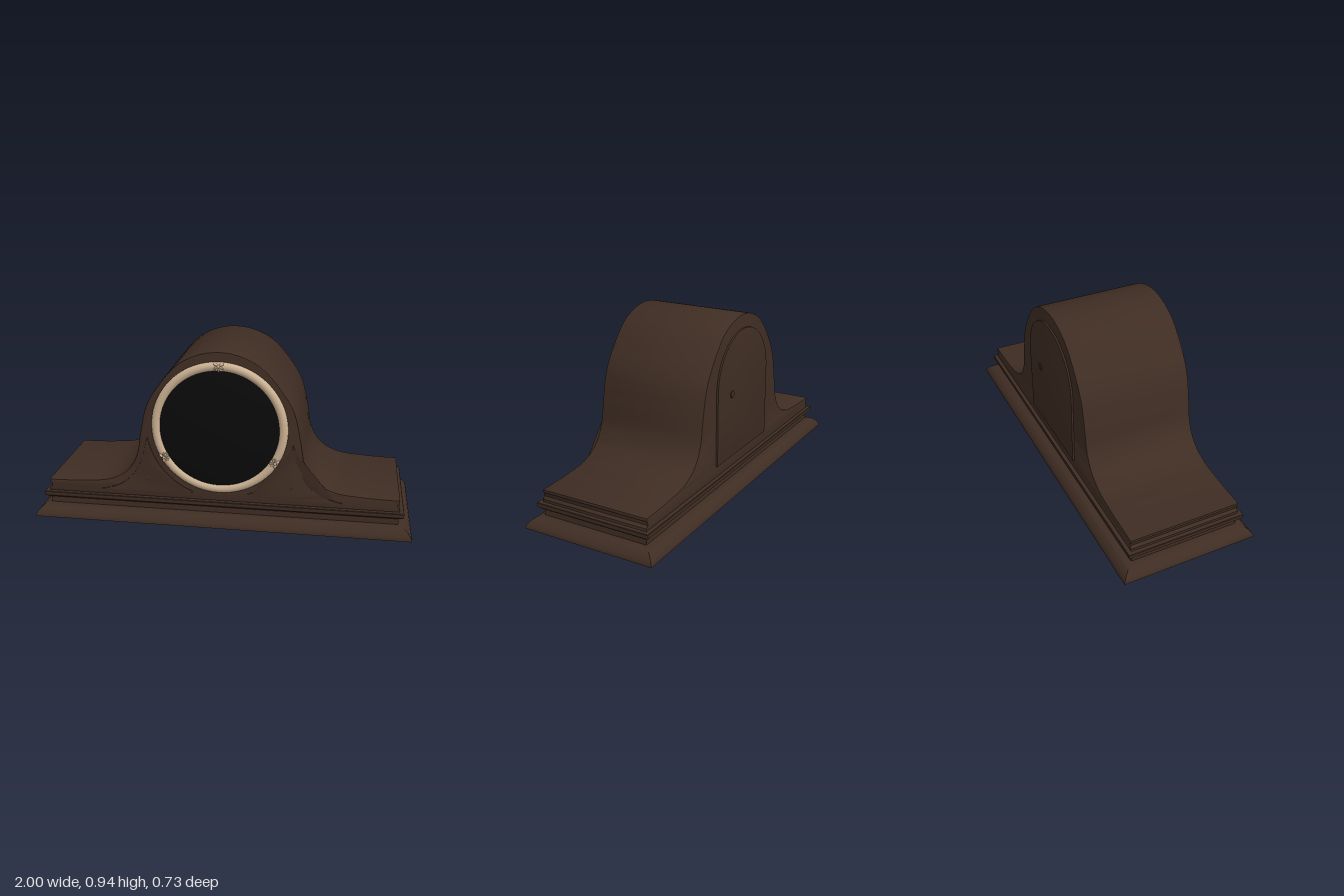
import * as THREE from 'three';
import { toCreasedNormals } from 'three/addons/utils/BufferGeometryUtils.js';

const V = (x, y) => new THREE.Vector2(x, y);
const wood = new THREE.MeshStandardMaterial({ color: 0x3f2d23 });
const cream = new THREE.MeshStandardMaterial({ color: 0xcdb394 });
const black = new THREE.MeshStandardMaterial({ color: 0x0a0a0a });
wood.name = 'dark wood';
cream.name = 'cream bezel';
black.name = 'black dial';

const DIAL_Y = 0.535, FRONT = 0.3;

function add(parent, name, geometry, material, x = 0, y = 0, z = 0) {
  const mesh = new THREE.Mesh(geometry, material);
  mesh.name = name;
  mesh.position.set(x, y, z);
  parent.add(mesh);
  return mesh;
}

// Mitred rectangular moulding: profile of [outset, y] swept round the footprint
function mouldingGeometry(profile, halfX, halfZ) {
  const rings = profile.map(([d, y]) => [[1, 1], [1, -1], [-1, -1], [-1, 1]]
    .map(([sx, sz]) => [sx * (halfX + d), y, sz * (halfZ + d)]));
  const pos = [];
  const quad = (a, b, c, d) => [a, b, c, a, c, d].forEach(p => pos.push(...p));
  for (let i = 0; i < rings.length - 1; i++) {
    for (let j = 0; j < 4; j++) {
      const k = (j + 1) % 4;
      quad(rings[i][j], rings[i][k], rings[i + 1][k], rings[i + 1][j]);
    }
  }
  const [b, t] = [rings[0], rings[rings.length - 1]];
  quad(b[0], b[3], b[2], b[1]);
  quad(t[0], t[1], t[2], t[3]);
  const g = new THREE.BufferGeometry();
  g.setAttribute('position', new THREE.Float32BufferAttribute(pos, 3));
  return toCreasedNormals(g, 0.5);
}

// Extrusion with a small edge bevel that stays inside the outline
function slab(shape, depth, bevel) {
  const g = new THREE.ExtrudeGeometry(shape, {
    depth: depth - 2 * bevel, curveSegments: 32, bevelEnabled: bevel > 0,
    bevelSize: bevel, bevelThickness: bevel, bevelOffset: -bevel, bevelSegments: 2,
  });
  g.translate(0, 0, bevel);
  return toCreasedNormals(g, 0.5);
}

// Humped case outline
function caseShape() {
  const half = [[0.93, 0.195], [0.83, 0.197], [0.73, 0.202], [0.6, 0.218], [0.5, 0.27], [0.442, 0.36],
    [0.417, 0.49], [0.386, 0.625], [0.33, 0.73], [0.225, 0.855], [0.115, 0.917]];
  const upper = [...half, [0, 0.937], ...half.map(([x, y]) => [-x, y]).reverse()];
  const curve = new THREE.SplineCurve(upper.map(p => V(...p))).getPoints(110);
  const end = [[0.933, 0.13], [0.933, 0.145], [0.921, 0.158], [0.923, 0.172], [0.931, 0.182]];
  return new THREE.Shape([
    ...end.map(p => V(...p)), ...curve,
    ...end.map(([x, y]) => V(-x, y)).reverse(),
  ]);
}

// Three-cornered carved corner outline, shrunk towards its middle by k
function spandrelPoints(side, k) {
  const pts = [];
  for (let i = 0; i <= 20; i++) {
    const a = THREE.MathUtils.degToRad(-10 - 58 * i / 20);
    pts.push(V(0.385 * Math.cos(a), DIAL_Y + 0.385 * Math.sin(a)));
  }
  pts.push(V(0.15, 0.162));
  const outer = new THREE.QuadraticBezierCurve(V(0.64, 0.162), V(0.42, 0.19), V(0.385, 0.468));
  pts.push(...outer.getPoints(20).slice(0, -1));
  return pts.map(p => V(side * (0.375 + (p.x - 0.375) * k), 0.235 + (p.y - 0.235) * k));
}

// Flattened petal pointing along an angle from a root point
function petal(parent, name, material, x, y, z, angle, length, width, height) {
  const g = new THREE.SphereGeometry(1, 12, 8);
  g.scale(length / 2, width / 2, height);
  g.translate(length / 2, 0, 0);
  add(parent, name, g, material, x, y, z).rotation.z = angle;
}

function spandrel(side) {
  const group = new THREE.Group();
  group.name = side > 0 ? 'leftSpandrel' : 'rightSpandrel';
  const frame = new THREE.Shape(spandrelPoints(side, 1));
  frame.holes.push(new THREE.Path(spandrelPoints(side, 0.86)));
  add(group, 'spandrelFrame', slab(frame, 0.006, 0.002), wood, 0, 0, FRONT);
  const bead = new THREE.Shape(spandrelPoints(side, 0.8));
  bead.holes.push(new THREE.Path(spandrelPoints(side, 0.74)));
  add(group, 'spandrelBead', slab(bead, 0.003, 0), wood, 0, 0, FRONT);
  // Carved leaves: [angle in degrees, length]
  const leaves = [[92, 0.12], [55, 0.075], [128, 0.07], [20, 0.08], [160, 0.08], [-12, 0.12], [192, 0.11], [-90, 0.045]];
  for (const [deg, len] of leaves) {
    const a = THREE.MathUtils.degToRad(side > 0 ? deg : 180 - deg);
    petal(group, 'carvedLeaf', wood, side * 0.375, 0.235, FRONT, a, len, 0.028, 0.006);
  }
  const boss = new THREE.SphereGeometry(0.018, 14, 10).scale(1, 1, 0.45);
  add(group, 'carvedBoss', boss, wood, side * 0.375, 0.235, FRONT);
  return group;
}

export function createModel() {
  const model = new THREE.Group();
  model.name = 'mantelClock';

  // Moulded plinth
  const profile = [[0.065, 0], [0.065, 0.005], [0.058, 0.02], [0.045, 0.037], [0.027, 0.051], [0.008, 0.058],
    [-0.006, 0.06], [-0.006, 0.095], [0.004, 0.096], [0.019, 0.108], [0.02, 0.128], [0.018, 0.131], [-0.004, 0.131]];
  add(model, 'plinth', mouldingGeometry(profile, 0.935, 0.3), wood);

  // Case
  add(model, 'case', slab(caseShape(), 0.6, 0.006), wood, 0, 0, -0.3);

  // Bezel and domed dial
  const rim = [[0.353, 0], [0.353, 0.008], [0.347, 0.016], [0.338, 0.021], [0.328, 0.022],
    [0.317, 0.019], [0.309, 0.012], [0.305, 0]].map(p => V(...p));
  const bezel = add(model, 'bezel', new THREE.LatheGeometry(rim, 96), cream, 0, DIAL_Y, FRONT);
  bezel.rotation.x = Math.PI / 2;
  const dome = [];
  for (let i = 0; i <= 12; i++) {
    const t = 1 - i / 12;
    dome.push(V(0.311 * t, 0.041 - 0.03 * t * t));
  }
  const dial = add(model, 'dial', new THREE.LatheGeometry(dome, 96), black, 0, DIAL_Y, FRONT);
  dial.rotation.x = Math.PI / 2;

  // Three small shell ornaments on the bezel
  for (const deg of [90, -30, -150]) {
    const a = THREE.MathUtils.degToRad(deg);
    const ornament = new THREE.Group();
    ornament.name = 'bezelOrnament';
    ornament.position.set(0.33 * Math.cos(a), DIAL_Y + 0.33 * Math.sin(a), FRONT + 0.018);
    ornament.rotation.z = a;
    for (let i = -2; i <= 2; i++) petal(ornament, 'shellPetal', cream, 0.002, 0, 0, Math.PI + i * 0.6, 0.028, 0.012, 0.009);
    for (const s of [-1, 1]) petal(ornament, 'shellScroll', cream, 0.008, 0, 0, s * 1.2, 0.028, 0.014, 0.009);
    add(ornament, 'shellBoss', new THREE.SphereGeometry(0.009, 12, 8), cream, 0.004, 0, 0.002);
    model.add(ornament);
  }

  // Carved corners beneath the dial
  model.add(spandrel(1), spandrel(-1));

  // Arched back door and its knob
  const door = new THREE.Shape();
  door.moveTo(-0.28, 0.195);
  door.lineTo(0.28, 0.195);
  door.lineTo(0.28, 0.585);
  door.absarc(0, 0.585, 0.28, 0, Math.PI, false);
  door.closePath();
  add(model, 'backDoor', slab(door, 0.012, 0.002), wood, 0, 0, -0.31);
  const knob = add(model, 'doorKnob', new THREE.CylinderGeometry(0.018, 0.02, 0.006, 24), wood, 0.13, 0.545, -0.311);
  knob.rotation.x = -Math.PI / 2;

  return model;
}
